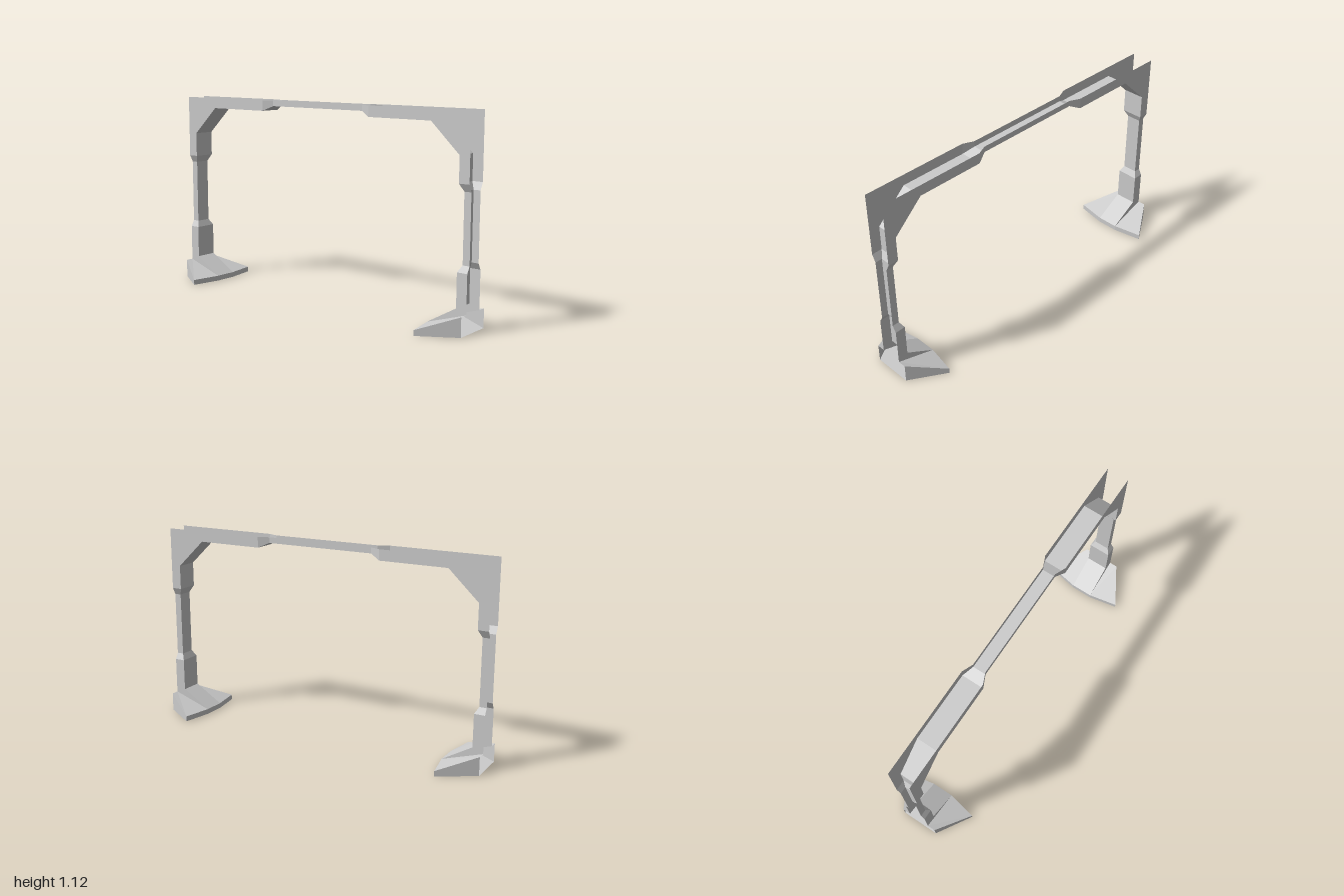
import * as THREE from 'three';

const material = new THREE.MeshStandardMaterial({
  color: 0xcccccc, flatShading: true, side: THREE.DoubleSide,
});

// Folded sheet from convex polygons, each a list of [x, y, z] corners
function sheet(name, polygons) {
  const points = [];
  for (const p of polygons) {
    for (let i = 1; i < p.length - 1; i++) points.push(...p[0], ...p[i], ...p[i + 1]);
  }
  const geometry = new THREE.BufferGeometry();
  geometry.setAttribute('position', new THREE.Float32BufferAttribute(points, 3));
  geometry.computeVertexNormals();
  const mesh = new THREE.Mesh(geometry, material);
  mesh.name = name;
  return mesh;
}

const mirrorX = (polygons) =>
  polygons.map((p) => p.map(([x, y, z]) => [-x, y, z]).reverse());

const W = 0.063; // half width of the wide channel

// Half of the arch, foot to middle: web z, web y, rim z, rim y, half width
const half = [
  [0.94, 0.13, 1, 0.105, W],
  [0.94, 0.315, 1, 0.315, W],
  [0.96, 0.35, 1, 0.35, 0.043],
  [0.96, 0.72, 1, 0.72, 0.043],
  [0.94, 0.76, 1, 0.76, W],
  [0.94, 0.9, 1, 0.9, W],
  [0.855, 0.98, 1, 1.12, W], // outer corner
  [0.77, 1.06, 0.77, 1.12, W],
  [0.38, 1.06, 0.38, 1.12, W],
  [0.32, 1.088, 0.32, 1.12, 0.037],
];

// Channel open to the outside: a web with a flange on each edge
function buildArch() {
  const otherHalf = half.map(([wz, wy, rz, ry, w]) => [-wz, wy, -rz, ry, w]).reverse();
  const stations = [...half, ...otherHalf];
  const web = [], flange = [];
  for (let i = 0; i < stations.length - 1; i++) {
    const [az, ay, arz, ary, aw] = stations[i];
    const [bz, by, brz, bry, bw] = stations[i + 1];
    web.push([[aw, ay, az], [-aw, ay, az], [-bw, by, bz], [bw, by, bz]]);
    flange.push([[aw, ay, az], [bw, by, bz], [bw, bry, brz], [aw, ary, arz]]);
  }
  const arch = new THREE.Group();
  arch.name = 'arch';
  arch.add(
    sheet('archWeb', web),
    sheet('leftFlange', flange),
    sheet('rightFlange', mirrorX(flange)),
  );
  return arch;
}

// Hollow splayed foot, open on its outer end
function buildFoot(name) {
  const outerTop = [0.109, 0.105, 1], outerBase = [0.109, 0, 1];
  const tipTop = [0.232, 0.03, 0.802], tipBase = [0.232, 0, 0.802];
  const toeTop = [W, 0.03, 0.77], toeBase = [W, 0, 0.77];
  const rim = [W, 0.105, 1], heel = [W, 0.13, 0.94];
  const side = [
    [rim, outerTop, tipTop, toeTop],         // splayed top
    [rim, toeTop, heel],                     // step up to the ramp
    [outerBase, tipBase, tipTop, outerTop],  // side wall
    [tipBase, toeBase, toeTop, tipTop],      // slanted toe wall
  ];
  const flip = ([x, y, z]) => [-x, y, z];
  const middle = [
    [toeTop, flip(toeTop), flip(heel), heel],      // ramp
    [toeBase, flip(toeBase), flip(toeTop), toeTop], // toe wall
  ];
  const sole = [[flip(outerBase), flip(tipBase), flip(toeBase), toeBase, tipBase, outerBase]];

  const foot = new THREE.Group();
  foot.name = name;
  foot.add(
    sheet('footRamp', middle),
    sheet('footLeftSide', side),
    sheet('footRightSide', mirrorX(side)),
    sheet('footSole', sole),
  );
  return foot;
}

export function createModel() {
  const model = new THREE.Group();
  model.name = 'archway';
  const backFoot = buildFoot('backFoot');
  backFoot.rotation.y = Math.PI;
  model.add(buildArch(), buildFoot('frontFoot'), backFoot);
  return model;
}
